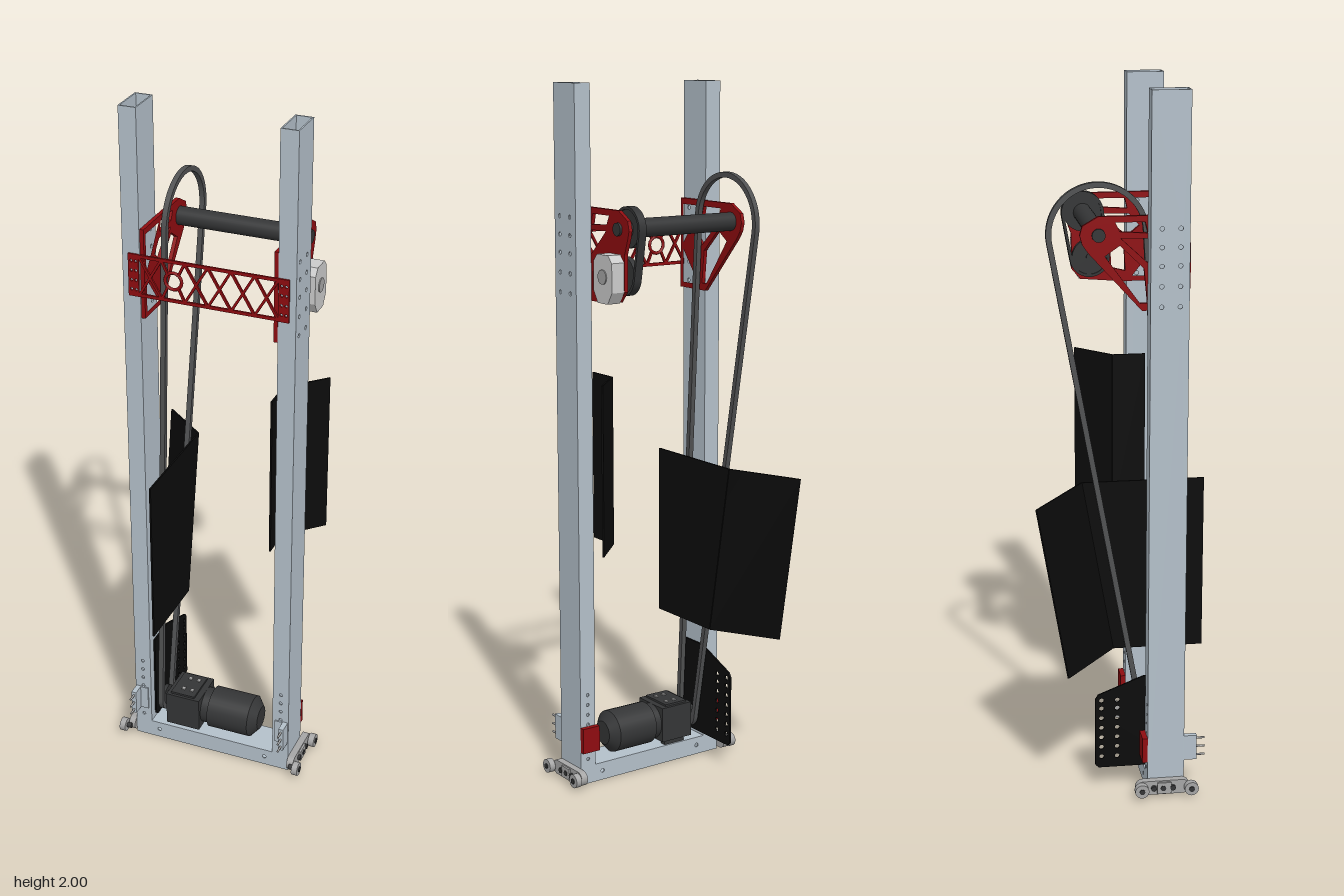
import * as THREE from 'three';

const mat = (color, side = THREE.FrontSide) => {
  const m = new THREE.MeshStandardMaterial({ color });
  m.side = side;
  return m;
};
const V = (x, y, z) => new THREE.Vector3(x, y, z);
const CX = 0.0055; // the frame's mid plane

export function createModel() {
  const model = new THREE.Group();
  const metal = mat(0xb4c0ca), red = mat(0x8f0c10), dark = mat(0x343536);
  const black = mat(0x0b0b0b, THREE.DoubleSide), grey = mat(0xa6a6a6), chainMat = mat(0x505152);

  const add = (name, geo, material, x = 0, y = 0, z = 0, parent = model) => {
    const m = new THREE.Mesh(geo, material);
    m.name = name;
    m.position.set(x, y, z);
    parent.add(m);
    return m;
  };
  const group = (name) => {
    const g = new THREE.Group();
    g.name = name;
    model.add(g);
    return g;
  };
  const box = (name, material, x0, x1, y0, y1, z0, z1, parent) =>
    add(name, new THREE.BoxGeometry(x1 - x0, y1 - y0, z1 - z0), material,
      (x0 + x1) / 2, (y0 + y1) / 2, (z0 + z1) / 2, parent);
  const cylX = (name, material, r, x0, x1, y, z, parent, r2 = r, seg = 32) =>
    add(name, new THREE.CylinderGeometry(r, r2, x1 - x0, seg).rotateZ(Math.PI / 2), material,
      (x0 + x1) / 2, y, z, parent);

  // polygon with polygon and round holes; pts are [u, y]
  const outline = (pts, polys = [], dots = [], r = 0.006) => {
    const s = new THREE.Shape(pts.map(p => new THREE.Vector2(...p)));
    polys.forEach(h => s.holes.push(new THREE.Path(h.map(p => new THREE.Vector2(...p)))));
    dots.forEach(([u, v]) => s.holes.push(new THREE.Path().absarc(u, v, r, 0, Math.PI * 2, true)));
    return s;
  };
  const rect = (a, b, c, d) => [[a, c], [b, c], [b, d], [a, d]];
  const extrude = (shape, depth) =>
    new THREE.ExtrudeGeometry(shape, { depth, bevelEnabled: false, curveSegments: 10 });
  // side profile in (-z, y), thick along x
  const sideways = (shape, depth) => extrude(shape, depth).rotateY(Math.PI / 2);
  const flipZ = pts => pts.map(([z, y]) => [-z, y]);

  // Hollow posts, drilled on every side
  const T = 0.004, Z0 = 0.075, Z1 = 0.18;
  const lowHoles = [0.075, 0.11, 0.145, 0.18, 0.21, 0.24, 0.27];
  const highHoles = [1.43, 1.485, 1.54, 1.59, 1.64];
  for (const [name, x0] of [['rightPost', -0.24], ['leftPost', 0.201]]) {
    const g = group(name), x1 = x0 + 0.05;
    const sideDots = highHoles.flatMap(y => [[-0.155, y], [-0.105, y]]);
    for (const x of [x0, x1 - T])
      add('postSide', sideways(outline(rect(-Z1, -Z0, 0, 2), [], sideDots), T), metal, x, 0, 0, g);
    const dots = lowHoles.map(y => [x0 + 0.025, y]);
    for (const z of [Z0, Z1 - T])
      add('postFace', extrude(outline(rect(x0 + T, x1 - T, 0, 2), [], dots, 0.005), T), metal, 0, 0, z, g);
  }

  // Cross tube at the foot
  const base = group('baseTube');
  for (const y of [0, 0.049]) box('baseWall', metal, -0.19, 0.201, y, y + T, Z0, Z1, base);
  for (const z of [Z0, Z1 - T])
    add('baseFace', extrude(outline(rect(-0.19, 0.201, T, 0.049), [],
      [[-0.165, 0.028], [0.176, 0.028]]), T), metal, 0, 0, z, base);

  // Mirrored foot hardware: roller carriers, front terminals, rear brackets
  for (const s of [-1, 1]) {
    const g = group(s < 0 ? 'rightFoot' : 'leftFoot');
    g.position.x = CX;
    const span = (a, b) => s > 0 ? [a, b] : [-b, -a];
    const carrier = new THREE.Shape();
    carrier.absarc(-0.06, 0.029, 0.021, -Math.PI / 2, Math.PI / 2);
    carrier.absarc(-0.173, 0.029, 0.021, Math.PI / 2, Math.PI * 1.5);
    const [c0] = span(0.246, 0.266);
    add('rollerCarrier', sideways(carrier, 0.02), grey, c0, 0, 0, g);
    box('carrierRib', grey, ...span(0.266, 0.272), 0.012, 0.046, 0.1, 0.14, g);
    for (const z of [0.054, 0.197]) {
      cylX('roller', grey, 0.02, ...span(0.269, 0.287), 0.029, z, g, 0.02, 24);
      cylX('rollerAxle', dark, 0.008, ...span(0.255, 0.29), 0.029, z, g, 0.008, 12);
    }
    for (const z of [0.09, 0.117, 0.145])
      cylX('carrierBolt', dark, 0.008, ...span(0.262, 0.274), 0.029, z, g, 0.008, 12);
    box('frontTerminal', metal, ...span(0.228, 0.243), 0.1, 0.175, 0.18, 0.217, g);
    box('terminalPlate', metal, ...span(0.204, 0.243), 0.1, 0.175, 0.18, 0.184, g);
    for (const y of [0.112, 0.138, 0.164])
      add('terminalPin', new THREE.CylinderGeometry(0.003, 0.003, 0.03, 10).rotateX(Math.PI / 2),
        grey, s * 0.2355, y, 0.226, g);
    box('rearBracket', red, ...span(0.19, 0.246), 0.1, 0.175, 0.06, 0.075, g);
  }

  // Lattice crossbeam on the front of the posts
  const beam = group('crossbeam');
  const bar = (x0, y0, x1, y1, w = 0.009) => {
    const m = add('beamBar', new THREE.BoxGeometry(Math.hypot(x1 - x0, y1 - y0), w, 0.006), red,
      (x0 + x1) / 2, (y0 + y1) / 2, 0.182, beam);
    m.rotation.z = Math.atan2(y1 - y0, x1 - x0);
  };
  const yb = 1.48, yt = 1.592;
  bar(-0.222, yb, 0.233, yb);
  bar(-0.222, yt, 0.233, yt);
  const left = -0.192, bay = 0.0658;
  for (let i = 0; i < 6; i++) {
    const a = left + i * bay, b = a + bay;
    if (i === 1) { // ring bay with four spokes
      const c = a + bay / 2, ym = (yb + yt) / 2;
      add('beamRing', new THREE.TorusGeometry(0.024, 0.005, 6, 16), red, c, ym, 0.181, beam);
      for (const [sx, sy] of [[1, 1], [1, -1], [-1, 1], [-1, -1]])
        bar(c + sx * 0.016, ym + sy * 0.019, c + sx * bay / 2, ym + sy * 0.056, 0.007);
    } else {
      bar(a, yb, b, yt, 0.007);
      bar(a, yt, b, yb, 0.007);
    }
  }
  for (const x of [-0.222, 0.203]) {
    const dots = [1.495, 1.522, 1.55, 1.577].flatMap(y => [[x + 0.009, y], [x + 0.022, y]]);
    add('beamEndPlate', extrude(outline(rect(x, x + 0.03, 1.475, 1.597), [], dots, 0.004), 0.006),
      red, 0, 0, 0.179, beam);
  }

  // Side plates carrying the upper shaft
  const SZ = -0.057, SY = 1.617;
  const hub = [60, 90, 120, 150, 180, 210].map(d => {
    const a = d * Math.PI / 180;
    return [SZ - 0.05 * Math.sin(a), SY + 0.05 * Math.cos(a)];
  });
  const plate = (tail, holes) => outline(
    flipZ([[0.178, 1.41], [0.178, 1.667], [SZ, 1.667], ...hub.slice(0, 3), ...tail, [0.06, 1.41]]),
    holes.map(flipZ));
  const common = [
    [[0.165, 1.425], [0.165, 1.52], [0.09, 1.425]],
    [[0.165, 1.54], [0.165, 1.65], [0.08, 1.65]],
    [[0.068, 1.65], [0.075, 1.62], [0, 1.625], [-0.012, 1.65]],
    [[0.08, 1.605], [0.11, 1.57], [0.075, 1.54], [0.003, 1.607]]];
  add('rightSidePlate', sideways(plate([[-0.085, 1.57]],
    [...common, [[0.065, 1.525], [0.075, 1.43], [0.055, 1.43], [-0.04, 1.56], [0.0, 1.588]]]), 0.011),
    red, -0.189, 0, 0);
  add('leftSidePlate', sideways(plate([[-0.085, 1.55], [-0.085, 1.45], [-0.06, 1.42]],
    [...common, [[0.065, 1.525], [0.07, 1.44], [0.03, 1.45], [0.025, 1.54]]]), 0.011),
    red, 0.189, 0, 0);

  // Upper shaft
  cylX('upperShaft', dark, 0.026, -0.18, 0.195, SY, SZ);
  for (const x of [-0.196, 0.198]) cylX('shaftCap', dark, 0.018, x, x + 0.009, SY, SZ);

  // Loop around two wheels, centres as [z, y]
  const loopPath = (Path, [z1, y1], r1, [z2, y2], r2) => {
    const a = Math.atan2(y2 - y1, z1 - z2);
    const phi = Math.acos((r1 - r2) / Math.hypot(z2 - z1, y2 - y1));
    const p = new Path();
    p.absarc(-z2, y2, r2, a - phi, a + phi, false);
    p.absarc(-z1, y1, r1, a + phi, a - phi + Math.PI * 2, false);
    p.closePath();
    return p;
  };
  const loop = (name, x, w, t, c1, r1, c2, r2, material) => {
    const s = loopPath(THREE.Shape, c1, r1, c2, r2);
    s.holes.push(loopPath(THREE.Path, c1, r1 - t, c2, r2 - t));
    const geo = new THREE.ExtrudeGeometry(s, { depth: w, bevelEnabled: false, curveSegments: 32 });
    add(name, geo.rotateY(Math.PI / 2), material, x, 0, 0);
  };
  loop('mainChain', -0.172, 0.015, 0.015, [0.123, 0.123], 0.045, [SZ, SY], 0.138, chainMat);
  loop('driveBelt', 0.15, 0.024, 0.008, [-0.037, 1.49], 0.057, [SZ, SY], 0.06, dark);
  cylX('upperPulley', dark, 0.053, 0.154, 0.17, SY, SZ);
  cylX('lowerPulley', dark, 0.05, 0.154, 0.17, 1.49, -0.037);

  // Small upper motor with chamfered housing
  const housing = flipZ([[0.005, 1.45], [0.005, 1.53], [-0.012, 1.55], [-0.065, 1.55], [-0.083, 1.53],
    [-0.083, 1.45], [-0.062, 1.418], [-0.015, 1.418]]);
  const upperMotor = group('upperMotor');
  add('motorHousing', sideways(outline(housing), 0.04), mat(0xbdbdbd), 0.2, 0, 0, upperMotor);
  cylX('motorFace', grey, 0.02, 0.24, 0.243, 1.49, -0.039, upperMotor);
  cylX('motorAxle', dark, 0.01, 0.15, 0.2, 1.49, -0.037, upperMotor);

  // Lower motor with gearbox
  const lower = group('lowerMotor'), MY = 0.122, MZ = 0.123;
  cylX('outputShaft', dark, 0.014, -0.175, -0.137, MY, MZ, lower);
  cylX('outputSprocket', dark, 0.03, -0.17, -0.159, MY, MZ, lower);
  cylX('outputCollar', dark, 0.03, -0.15, -0.137, MY, MZ, lower);
  box('gearbox', dark, -0.137, -0.032, 0.07, 0.175, 0.066, 0.186, lower);
  box('gearboxLid', dark, -0.125, -0.05, 0.175, 0.181, 0.075, 0.178, lower);
  cylX('motorNeck', dark, 0.053, -0.032, -0.008, MY, MZ, lower);
  cylX('motorBody', dark, 0.062, -0.008, 0.12, MY, MZ, lower);
  cylX('motorEnd', dark, 0.062, 0.12, 0.143, MY, MZ, lower, 0.035);
  for (const x of [-0.095, -0.068]) for (const z of [0.098, 0.15])
    box('gearboxBolt', grey, x - 0.005, x + 0.005, 0.18, 0.184, z - 0.006, z + 0.006, lower);
  for (const z of [0.09, 0.155]) box('motorFoot', dark, -0.12, -0.05, 0.05, 0.072, z - 0.01, z + 0.01, lower);

  // Bent guard panels: thin slabs from four corners (bottom a, b; top d, c)
  const slab = (name, a, b, c, d, parent) => {
    const n = b.clone().sub(a).cross(d.clone().sub(a)).normalize().multiplyScalar(0.0025);
    const geo = new THREE.BoxGeometry(2, 2, 2), p = geo.attributes.position;
    for (let i = 0; i < p.count; i++) {
      const lo = p.getY(i) < 0, far = p.getX(i) > 0;
      const v = (lo ? (far ? b : a) : (far ? c : d)).clone().addScaledVector(n, p.getZ(i));
      p.setXYZ(i, v.x, v.y, v.z);
    }
    geo.computeVertexNormals();
    add(name, geo, black, 0, 0, 0, parent);
  };
  const gl = group('leftGuard');
  slab('guardFlat', V(0.165, 0.72, 0.125), V(0.165, 0.72, 0.03), V(0.165, 1.2, 0.03), V(0.165, 1.2, 0.125), gl);
  slab('guardFlap', V(0.165, 0.72, 0.03), V(0.264, 0.72, -0.068), V(0.264, 1.2, -0.068), V(0.165, 1.2, 0.03), gl);
  const gr = group('rightGuard');
  slab('guardFlat', V(-0.148, 0.42, 0.243), V(-0.148, 0.42, -0.012), V(-0.148, 0.92, -0.1), V(-0.148, 0.92, 0.243), gr);
  slab('guardFlap', V(-0.148, 0.42, -0.012), V(-0.294, 0.4, -0.157), V(-0.294, 0.897, -0.241), V(-0.148, 0.92, -0.1), gr);

  // Perforated lower guard beside the motor
  const rows = [0.1, 0.13, 0.16, 0.19, 0.22, 0.25, 0.275];
  add('lowerGuard', sideways(outline(
    flipZ([[0.165, 0.075], [0.165, 0.345], [0.07, 0.345], [-0.06, 0.293], [-0.068, 0.28], [-0.068, 0.075], [-0.058, 0.066], [0.155, 0.066]]),
    [], rows.flatMap(y => [[0.005, y], [0.05, y]]), 0.007), 0.005), black, -0.185, 0, 0);

  return model;
}
